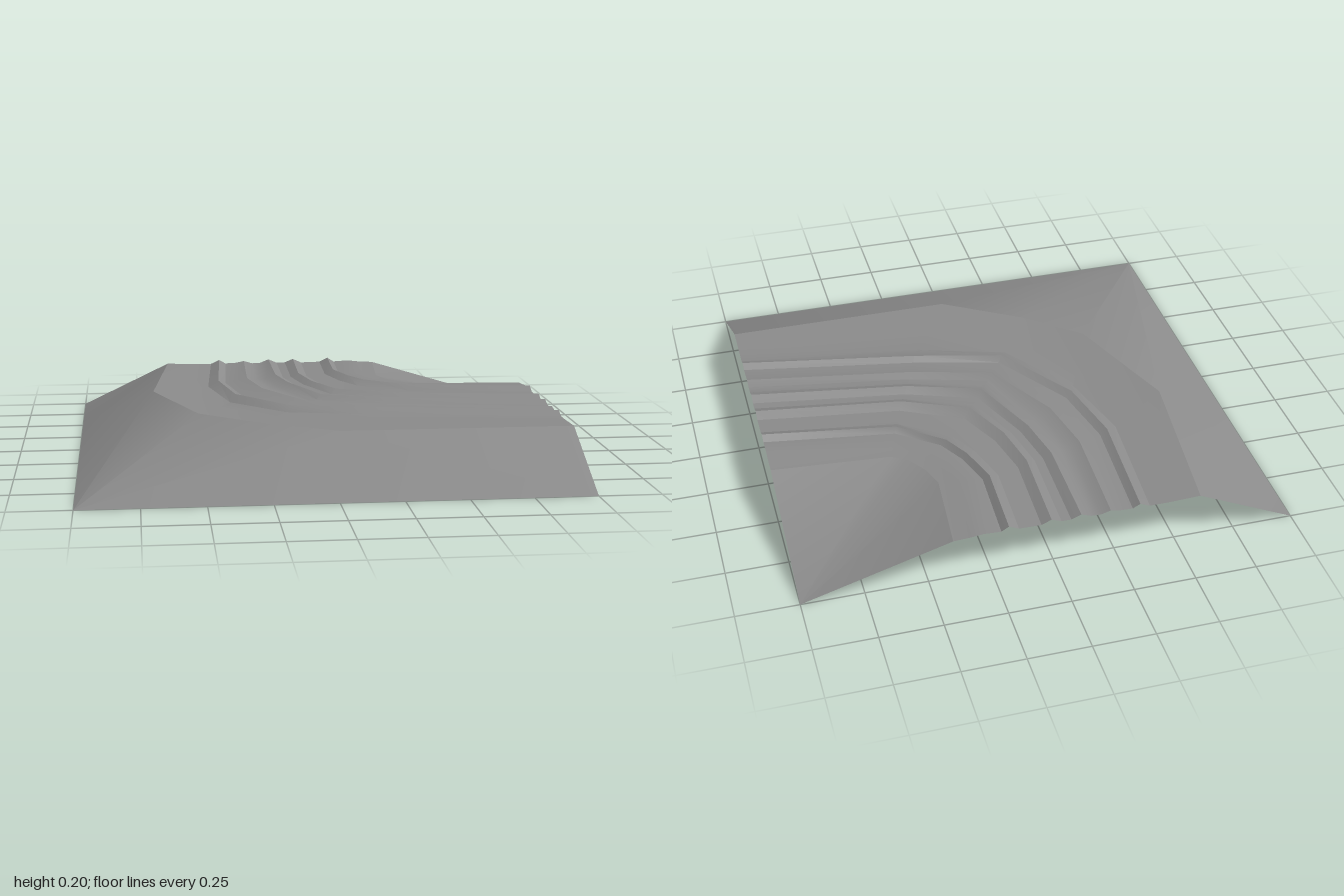
import * as THREE from 'three';
import { toCreasedNormals } from 'three/addons/utils/BufferGeometryUtils.js';

// Lines that run round the bend, outer to inner: offset t, then six [x, z] stations
const LINES = [
  { t: -0.6, pts: [[-0.6, -1], [-0.68, -0.3], [-0.5, 0.2], [-0.27, 0.4], [0.05, 0.6], [1, 0.6]] },
  { t: -0.35, pts: [[-0.35, -1], [-0.38, -0.5], [-0.32, -0.2], [-0.1, 0.12], [0.27, 0.21], [1, 0.35]] },
  { t: -0.11, pts: [[-0.11, -1], [-0.11, -0.6], [-0.07, -0.4], [0.05, -0.1], [0.35, 0], [1, 0.11]] },
  { t: 0.01, pts: [[0.01, -1], [0, -0.62], [0.04, -0.42], [0.13, -0.22], [0.4, -0.1], [1, -0.01]] },
  { t: 0.18, pts: [[0.18, -1], [0.17, -0.68], [0.22, -0.52], [0.28, -0.41], [0.46, -0.27], [1, -0.18]] },
  { t: 0.4, pts: [[0.4, -1], [0.37, -0.64], [0.4, -0.55], [0.46, -0.46], [0.52, -0.43], [1, -0.39]] },
];

// Height across the top: [t, y], with low ridges between shallow ruts
const PROFILE = [
  [-0.6, 0.19], [-0.46, 0.185], [-0.39, 0.185], [-0.35, 0.203], [-0.32, 0.186], [-0.27, 0.188], [-0.23, 0.196],
  [-0.19, 0.184], [-0.15, 0.186], [-0.11, 0.202], [-0.07, 0.185], [-0.03, 0.186], [0.01, 0.202], [0.05, 0.184],
  [0.14, 0.186], [0.18, 0.205], [0.21, 0.186], [0.28, 0.19], [0.33, 0.184], [0.4, 0.18],
];

// How far the outer shoulder sags at each station
const SAG = [0, 0.012, 0.022, 0.006, 0, 0];

function topPoint(station, [t, y]) {
  const k = Math.max(1, LINES.findIndex((line) => line.t >= t - 1e-6));
  const a = LINES[k - 1], b = LINES[k];
  const f = (t - a.t) / (b.t - a.t);
  const [ax, az] = a.pts[station], [bx, bz] = b.pts[station];
  const sag = SAG[station] * Math.max(0, 1 - Math.abs(t + 0.42) / 0.16);
  return [ax + (bx - ax) * f, y - sag, az + (bz - az) * f];
}

function surface(name, triangles, material) {
  const geometry = new THREE.BufferGeometry();
  geometry.setAttribute('position', new THREE.Float32BufferAttribute(triangles.flat(2), 3));
  const mesh = new THREE.Mesh(toCreasedNormals(geometry, 0.35), material);
  mesh.name = name;
  return mesh;
}

export function createModel() {
  const group = new THREE.Group();
  group.name = 'bendingEmbankment';
  const stone = new THREE.MeshStandardMaterial({ color: 0x8c8c8c });
  stone.name = 'stone grey';
  stone.side = THREE.DoubleSide;

  // Rutted top, swept round the bend
  const rows = SAG.map((_, station) => PROFILE.map((p) => topPoint(station, p)));
  const top = [];
  for (let i = 0; i < rows.length - 1; i++) {
    for (let j = 0; j < PROFILE.length - 1; j++) {
      const a = rows[i][j], b = rows[i + 1][j], c = rows[i + 1][j + 1], d = rows[i][j + 1];
      top.push([a, b, d], [b, c, d]);
    }
  }
  group.add(surface('ruttedTop', top, stone));

  // Outer slope, down to the left and front edges
  const o = rows.map((row) => row[0]);
  const backLeft = [-1, 0, -1], left = [-1, 0, -0.58], frontLeft = [-1, 0, 1], frontRight = [1, 0, 1];
  group.add(surface('outerSlope', [
    [backLeft, left, o[0]], [left, o[1], o[0]], [left, frontLeft, o[1]],
    [frontLeft, o[2], o[1]], [frontLeft, o[3], o[2]], [frontLeft, o[4], o[3]],
    [frontLeft, frontRight, o[4]], [frontRight, o[5], o[4]],
  ], stone));

  // Inner slope, fanning down to the back right corner
  const inner = rows.map((row) => row[row.length - 1]);
  const backRight = [1, 0, -1];
  group.add(surface('innerSlope', inner.slice(1).map((p, i) => [inner[i], p, backRight]), stone));

  return group;
}
